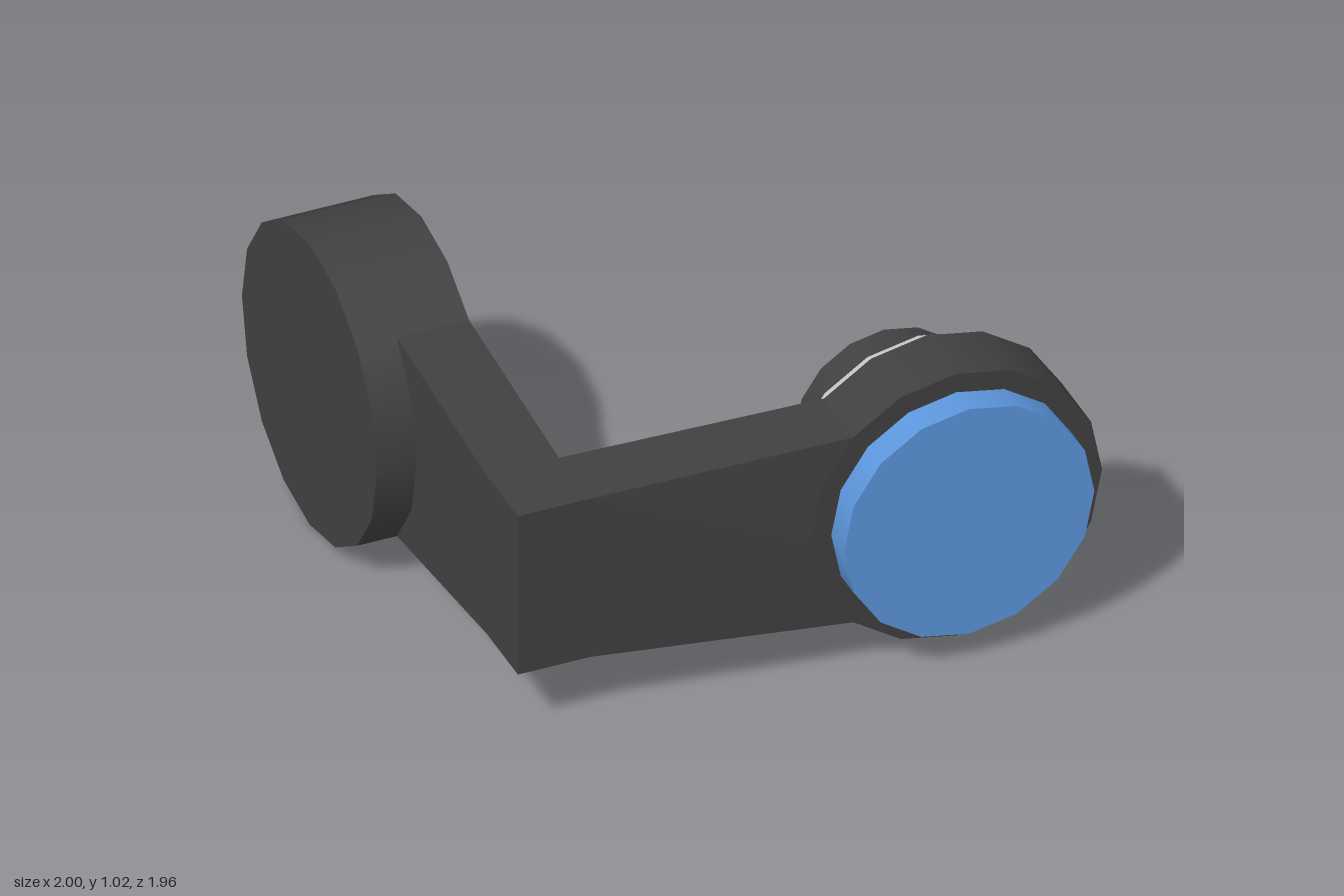
import * as THREE from 'three';
import { ConvexGeometry } from 'three/addons/geometries/ConvexGeometry.js';

const CY = 0.51; // height of both joint axes

export function createModel() {
  const group = new THREE.Group();
  const dark = new THREE.MeshStandardMaterial({ color: 0x404040 });
  const blue = new THREE.MeshStandardMaterial({ color: 0x5c96dc });
  const grey = new THREE.MeshStandardMaterial({ color: 0xc2c2c2 });
  dark.name = 'charcoal';
  blue.name = 'blue';
  grey.name = 'light grey';

  const add = (name, geometry, material) => {
    const mesh = new THREE.Mesh(geometry, material);
    mesh.name = name;
    group.add(mesh);
    return mesh;
  };

  // Sixteen-sided disc along z, between z0 and z1
  const disc = (name, radius, z0, z1, material) => {
    const g = new THREE.CylinderGeometry(radius, radius, z1 - z0, 16);
    g.rotateX(Math.PI / 2);
    g.translate(0.525, CY, (z0 + z1) / 2);
    return add(name, g, material);
  };

  // Rear joint housing, axis along x
  const housing = new THREE.CylinderGeometry(0.509, 0.509, 0.365, 16);
  housing.rotateZ(Math.PI / 2);
  housing.translate(-0.8175, CY, -0.472);
  add('rearJointHousing', housing, dark);

  // Front joint stack, axis along z
  disc('frontJointHousing', 0.475, 0.657, 0.88, dark);
  disc('jointCap', 0.408, 0.88, 0.977, blue);
  disc('jointRing', 0.432, 0.592, 0.657, grey);
  disc('outputShaft', 0.29, 0.333, 0.592, dark);

  // Elbow block where both arms meet
  const block = new THREE.BoxGeometry(0.235, 0.575, 0.235);
  block.translate(-0.7525, CY, 0.6825);
  add('elbowBlock', block, dark);

  // Side arm, flaring in height towards the rear housing
  const side = [];
  for (const x of [-0.87, -0.635]) {
    for (const s of [-1, 1]) {
      side.push(new THREE.Vector3(x, CY + s * 0.2875, 0.565));
      side.push(new THREE.Vector3(x, CY + s * 0.36, -0.112));
    }
  }
  add('sideArm', new ConvexGeometry(side), dark);

  // Front arm, flaring into the near edge of the front housing
  const front = [];
  for (const [zElbow, zDisc] of [[0.565, 0.657], [0.8, 0.88]]) {
    for (const s of [-1, 1]) front.push(new THREE.Vector3(-0.635, CY + s * 0.2875, zElbow));
    for (let i = 6; i <= 10; i++) {
      const a = (i * Math.PI) / 8;
      front.push(new THREE.Vector3(0.525 + 0.475 * Math.cos(a), CY + 0.475 * Math.sin(a), zDisc));
    }
  }
  add('frontArm', new ConvexGeometry(front), dark);

  return group;
}
